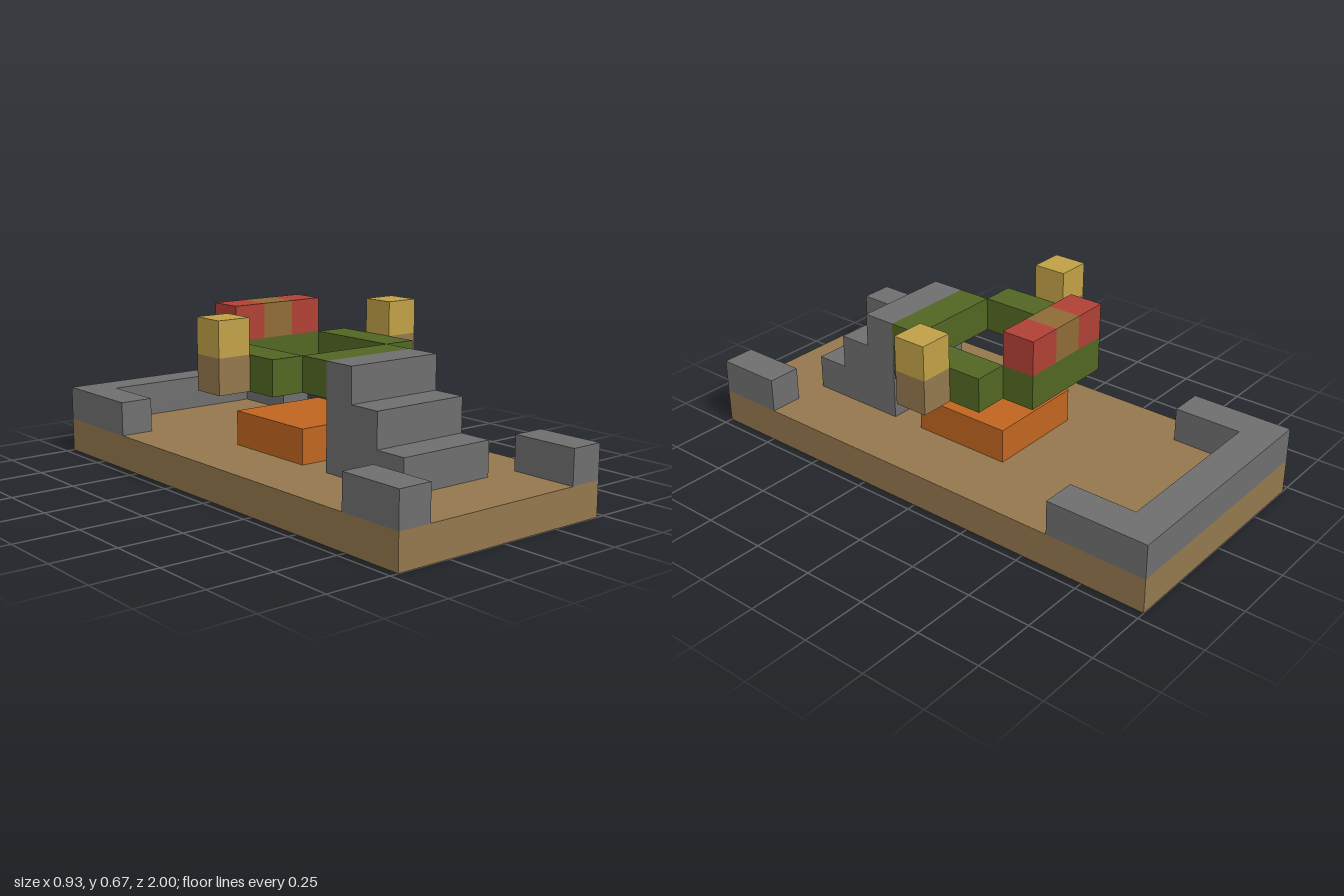
import * as THREE from 'three';

const U = 2 / 15; // one block

function mat(name, color) {
  const m = new THREE.MeshStandardMaterial({ color });
  m.name = name;
  return m;
}

export function createModel() {
  const earth = mat('earth brown', 0x93774d);
  const stone = mat('stone grey', 0x6e6e6e);
  const leaf = mat('leaf green', 0x526623);
  const ember = mat('ember orange', 0xc06520);
  const gold = mat('gold', 0xc0a047);
  const red = mat('red', 0xb04035);
  const ochre = mat('ochre', 0x8f6b35);

  const model = new THREE.Group();
  model.name = 'shrine';

  // Box between two corners, given in blocks
  function block(name, material, [x0, y0, z0], [x1, y1, z1]) {
    const geo = new THREE.BoxGeometry((x1 - x0) * U, (y1 - y0) * U, (z1 - z0) * U);
    const mesh = new THREE.Mesh(geo, material);
    mesh.name = name;
    mesh.position.set((x0 + x1) * U / 2, (y0 + y1) * U / 2, (z0 + z1) * U / 2);
    model.add(mesh);
  }
  // The same box on both sides of the model
  function pair(name, material, [x0, y0, z0], [x1, y1, z1]) {
    block(name + 'Left', material, [x0, y0, z0], [x1, y1, z1]);
    block(name + 'Right', material, [-x1, y0, z0], [-x0, y1, z1]);
  }

  // Ground slab
  block('base', earth, [-3.5, 0, -7.5], [3.5, 1, 7.5]);

  // Low stone walls at the corners
  block('backWall', stone, [-3.5, 1, -7.5], [3.5, 2, -6.5]);
  pair('backWallEnd', stone, [2.5, 1, -6.5], [3.5, 2, -4.5]);
  pair('frontWall', stone, [2.5, 1, 5.5], [3.5, 2, 7.5]);

  // Solid stairs, a stepped side profile extruded across x
  const profile = new THREE.Shape(
    [[2.5, 1], [5.5, 1], [5.5, 2], [4.5, 2], [4.5, 3], [3.5, 3], [3.5, 4], [2.5, 4]]
      .map(([z, y]) => new THREE.Vector2(-z * U, y * U)));
  const stairGeo = new THREE.ExtrudeGeometry(profile, { depth: 3 * U, bevelEnabled: false });
  stairGeo.translate(0, 0, -1.5 * U);
  stairGeo.rotateY(Math.PI / 2);
  const stairs = new THREE.Mesh(stairGeo, stone);
  stairs.name = 'stairs';
  model.add(stairs);

  // Glowing block below the ring
  block('emberBlock', ember, [-1.5, 1, -1.5], [1.5, 2, 1.5]);

  // Raised green ring
  block('ringFront', leaf, [-1.5, 3, 1.5], [1.5, 4, 2.5]);
  block('ringBack', leaf, [-1.5, 3, -2.5], [1.5, 4, -1.5]);
  pair('ringSide', leaf, [1.5, 3, -1.5], [2.5, 4, 1.5]);

  // Side posts with gold tops
  pair('post', earth, [2.5, 3, -0.5], [3.5, 4, 0.5]);
  pair('postTop', gold, [2.5, 4, -0.5], [3.5, 5, 0.5]);

  // Back rail
  pair('railEnd', red, [0.5, 4, -2.5], [1.5, 5, -1.5]);
  block('railMiddle', ochre, [-0.5, 4, -2.5], [0.5, 5, -1.5]);

  return model;
}
